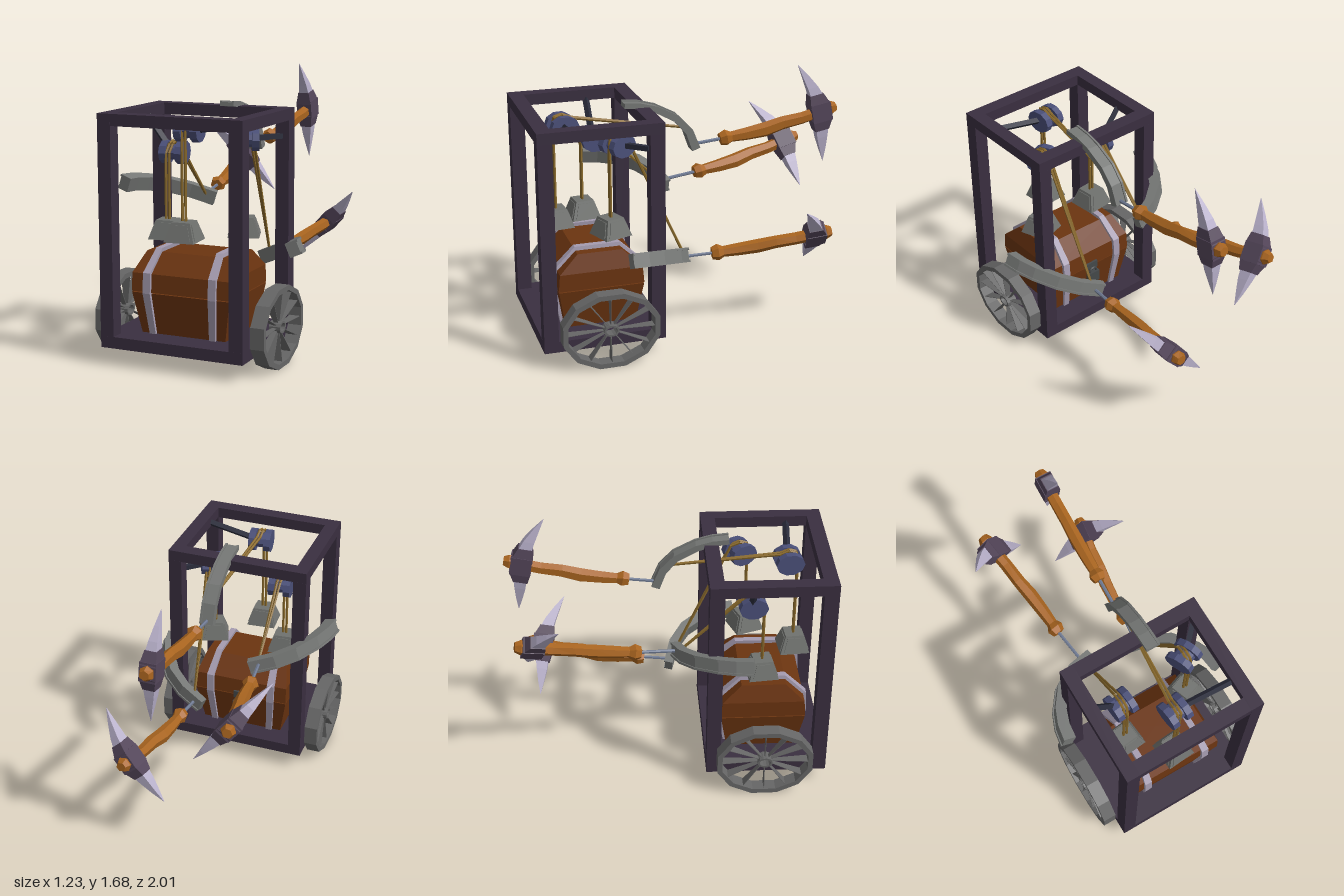
import * as THREE from 'three';

const V = (x, y, z) => new THREE.Vector3(x, y, z);
const mat = (color) => new THREE.MeshStandardMaterial({ color, flatShading: true, side: THREE.DoubleSide });
const M = {
  frame: mat(0x3a2f40), wood: mat(0x6b3410), band: mat(0xa59cb0), wheel: mat(0x666666), lock: mat(0x44484a),
  pulley: mat(0x4a4f78), bracket: mat(0x2b2d3c), rope: mat(0x8a6a2c), weight: mat(0x70726f), arm: mat(0x767876),
  handle: mat(0xa8641f), head: mat(0x54465a), spike: mat(0xb9b1cb), steel: mat(0x6f7a92),
};

function add(parent, name, geo, material, x = 0, y = 0, z = 0) {
  const m = new THREE.Mesh(geo, material);
  m.name = name;
  m.position.set(x, y, z);
  parent.add(m);
  return m;
}
function group(parent, name, x = 0, y = 0, z = 0) {
  const g = new THREE.Group();
  g.name = name;
  g.position.set(x, y, z);
  parent.add(g);
  return g;
}
const box = (w, h, d) => new THREE.BoxGeometry(w, h, d);

// Solid through horizontal sections [y, centreX, centreZ, halfX, halfZ], bottom to top
function loft(sections, sides = 4) {
  const n = sections.length - 1, r = 1 / Math.cos(Math.PI / sides);
  const g = new THREE.CylinderGeometry(r, r, 1, sides, n, false, Math.PI / sides);
  const p = g.attributes.position;
  for (let i = 0; i < p.count; i++) {
    const [y, cx, cz, rx, rz] = sections[Math.round((p.getY(i) + 0.5) * n)];
    p.setXYZ(i, cx + p.getX(i) * rx, y, cz + p.getZ(i) * rz);
  }
  g.computeVertexNormals();
  return g;
}
// Straight bar between two points
function rod(parent, name, a, b, r, material, sides = 6) {
  const d = b.clone().sub(a);
  const m = add(parent, name, new THREE.CylinderGeometry(r, r, d.length(), sides), material);
  m.position.copy(a).add(b).multiplyScalar(0.5);
  m.quaternion.setFromUnitVectors(V(0, 1, 0), d.normalize());
}

function buildFrame(root) {
  const g = group(root, 'frame');
  add(g, 'floor', box(0.915, 0.07, 0.765), M.frame, 0.008, 0.145, 0.618);
  for (const x of [-0.408, 0.423]) {
    for (const z of [0.28, 0.955]) add(g, 'post', box(0.085, 1.25, 0.09), M.frame, x, 0.805, z);
    add(g, 'topSideBeam', box(0.085, 0.07, 0.765), M.frame, x, 1.465, 0.618);
  }
  for (const z of [0.28, 0.955]) add(g, 'topCrossBeam', box(0.75, 0.07, 0.09), M.frame, 0.008, 1.465, z);
}

function buildChest(root) {
  const g = group(root, 'chest', 0.008, 0, 0.602);
  add(g, 'chestBody', loft([[0.18, 0, 0, 0.272, 0.225], [0.432, 0, 0, 0.317, 0.268]]), M.wood);
  add(g, 'chestLid', loft([[0.438, 0, 0, 0.317, 0.27], [0.548, 0, 0, 0.317, 0.26], [0.66, 0, 0, 0.28, 0.14]]), M.wood);
  for (const s of [-1, 1]) {
    add(g, 'chestBand', loft([[0.18, s * 0.195, 0, 0.02, 0.243], [0.433, s * 0.212, 0, 0.024, 0.288],
      [0.556, s * 0.212, 0, 0.024, 0.28], [0.684, s * 0.197, 0, 0.02, 0.142]]), M.band);
  }
  // padlock on the back
  add(g, 'lockPlate', box(0.09, 0.05, 0.02), M.lock, 0, 0.44, -0.272);
  add(g, 'lockBody', box(0.085, 0.08, 0.035), M.lock, 0, 0.36, -0.29);
  add(g, 'lockShackle', new THREE.TorusGeometry(0.028, 0.008, 5, 8, Math.PI), M.lock, 0, 0.4, -0.29);
}

// Oval ring of twelve sides, laid across the x axis
function ring(rz, ry, thick, width) {
  const oval = (a, b) => Array.from({ length: 12 }, (_, i) => {
    const t = (i + 0.5) * Math.PI / 6;
    return new THREE.Vector2(a * Math.cos(t), b * Math.sin(t));
  });
  const shape = new THREE.Shape(oval(rz, ry));
  shape.holes.push(new THREE.Path(oval(rz - thick, ry - thick)));
  return new THREE.ExtrudeGeometry(shape, { depth: width, bevelEnabled: false }).translate(0, 0, -width / 2).rotateY(Math.PI / 2);
}
function buildWheels(root) {
  for (const x of [-0.502, 0.512]) {
    const g = group(root, 'wheel', x, 0.243, 0.6);
    add(g, 'rim', ring(0.312, 0.248, 0.032, 0.085), M.wheel);
    add(g, 'hub', ring(0.048, 0.037, 0.012, 0.07), M.wheel);
    // blade spokes, edge-on from the side
    const spokes = group(g, 'spokes');
    spokes.scale.y = 0.79;
    for (let i = 0; i < 12; i++) {
      const s = add(spokes, 'spoke', loft([[0.045, 0, 0, 0.014, 0.002], [0.28, 0, 0, 0.034, 0.002]]), M.wheel);
      s.rotation.x = i * Math.PI / 6;
    }
  }
}

// Hanging weight, pulley, its bracket, and the rope running back to an arm
function buildPulley(root, { pulley, turn, weight, weightTurn, bracket, ropeEnd }) {
  const g = group(root, 'pulleySet');
  const p = group(g, 'pulley', pulley.x, pulley.y, pulley.z);
  p.rotation.y = turn;
  p.scale.y = 0.79;
  for (const s of [-1, 1]) {
    add(p, 'pulleyDisc', new THREE.CylinderGeometry(0.09, 0.09, 0.043, 10).rotateZ(Math.PI / 2), M.pulley, s * 0.05);
  }
  add(p, 'pulleyHub', new THREE.CylinderGeometry(0.06, 0.06, 0.08, 10).rotateZ(Math.PI / 2), M.pulley);
  rod(g, 'pulleyBracket', bracket[0], bracket[1], 0.022, M.bracket, 4);

  const w = group(g, 'weight', weight.x, weight.y, weight.z);
  w.rotation.y = weightTurn;
  add(w, 'weightBlock', loft([[0, 0, 0, 0.094, 0.094], [0.115, 0, 0, 0.057, 0.057]]), M.weight);
  add(w, 'weightPanelFront', loft([[0.014, 0, 0, 0.07, 0.094], [0.101, 0, 0, 0.045, 0.066]]), M.weight);
  add(w, 'weightPanelSide', loft([[0.014, 0, 0, 0.094, 0.07], [0.101, 0, 0, 0.066, 0.045]]), M.weight);

  for (const s of [-0.011, 0.011]) {
    const path = [
      V(weight.x + s, weight.y + 0.11, weight.z), V(weight.x + s, pulley.y, weight.z),
      V(pulley.x + s, pulley.y + 0.055, pulley.z + 0.045), V(pulley.x + s, pulley.y + 0.068, pulley.z),
      V(pulley.x + s, pulley.y + 0.045, pulley.z - 0.055), V(ropeEnd.x, ropeEnd.y, ropeEnd.z),
    ];
    for (let i = 0; i < 5; i++) rod(g, 'rope', path[i], path[i + 1], 0.009, M.rope, 5);
  }
}

// Curved arm in the plane of u and v, with raised rails along its outer edge
function buildArm(root, origin, u, v, vScale, t0, t1) {
  const pts = [[0, 0], [0.1, 0.015], [0.2, 0.055], [0.33, 0.15], [0.41, 0.27], [0.455, 0.43]]
    .map(([a, b]) => new THREE.Vector2(a, b * vScale));
  const g = group(root, 'curvedArm');
  const strip = (outer, width, offset) => {
    const top = [], low = [];
    pts.forEach((p, i) => {
      const d = pts[Math.min(i + 1, 5)].clone().sub(pts[Math.max(i - 1, 0)]).normalize();
      const t = t0 + (t1 - t0) * i / 5, n = new THREE.Vector2(d.y, -d.x);
      top.push(p.clone().addScaledVector(n, t + outer));
      low.unshift(p.clone().addScaledVector(n, -t));
    });
    return new THREE.ExtrudeGeometry(new THREE.Shape([...top, ...low]), { depth: width, bevelEnabled: false })
      .translate(0, 0, offset - width / 2);
  };
  add(g, 'armBody', strip(-0.008, 0.085, 0), M.arm);
  for (const s of [-1, 1]) add(g, 'armRail', strip(0, 0.014, s * 0.038), M.arm);
  g.matrixAutoUpdate = true;
  g.quaternion.setFromRotationMatrix(new THREE.Matrix4().makeBasis(u, v, u.clone().cross(v)));
  g.position.copy(origin);
}

// Pickaxe: handle along local y, spikes along local x
function buildPickaxe(root, butt, end, tipA, tipB, wireStart) {
  rod(root, 'wire', wireStart, butt, 0.011, M.steel);
  const g = group(root, 'pickaxe', butt.x, butt.y, butt.z);
  const d = end.clone().sub(butt).normalize();
  const up = tipA.clone().sub(tipB);
  up.addScaledVector(d, -up.dot(d)).normalize();
  g.quaternion.setFromRotationMatrix(new THREE.Matrix4().makeBasis(up, d, up.clone().cross(d)));

  add(g, 'handle', loft([
    [-0.02, 0, 0, 0.034, 0.034], [0.02, 0, 0, 0.046, 0.046], [0.055, -0.005, 0, 0.03, 0.03],
    [0.15, -0.014, 0, 0.036, 0.034], [0.28, -0.02, 0, 0.042, 0.037], [0.4, -0.01, 0, 0.038, 0.034],
    [0.53, -0.014, 0, 0.034, 0.034], [0.66, -0.006, 0, 0.034, 0.034], [0.73, 0, 0, 0.042, 0.04], [0.765, 0, 0, 0.026, 0.028],
  ], 6), M.handle);

  const head = group(g, 'pickHead', 0, 0.655, 0);
  add(head, 'socket', box(0.12, 0.13, 0.105), M.head);
  for (const [s, tip] of [[1, -0.07], [-1, 0]]) {
    const collar = loft([[0.04, 0, 0, 0.068, 0.052], [0.12, -0.012, 0, 0.045, 0.038]]);
    const spike = loft([[0.1, -0.008, 0, 0.042, 0.036], [0.17, -0.016 + tip * 0.15, 0, 0.034, 0.028],
      [0.25, -0.022 + tip * 0.5, 0, 0.02, 0.015], [0.335, -0.03 + tip * 0.9, 0, 0.001, 0.001]]);
    // cross-section profile runs outward; its x offset becomes the lean along the handle
    for (const [name, geo, m] of [['collar', collar, M.head], ['spike', spike, M.spike]]) {
      const side = group(head, name + 'Side');
      side.quaternion.setFromRotationMatrix(new THREE.Matrix4().makeBasis(V(0, 1, 0), V(s, 0, 0), V(0, 0, -s)));
      add(side, name, geo, m);
    }
  }
}

export function createModel() {
  const root = new THREE.Group();
  root.name = 'pickaxeCart';
  buildFrame(root);
  buildChest(root);
  buildWheels(root);

  buildPulley(root, { pulley: V(-0.2, 1.228, 0.515), turn: 0.1, weight: V(-0.21, 0.715, 0.59), weightTurn: 0.1,
    bracket: [V(-0.22, 1.23, 0.51), V(-0.38, 1.44, 0.51)], ropeEnd: V(-0.2, 0.9, 0.08) });
  buildPulley(root, { pulley: V(0.02, 1.4, 0.755), turn: 0.12, weight: V(0.01, 0.757, 0.81), weightTurn: 0.08,
    bracket: [V(0.04, 1.4, 0.75), V(0.4, 1.455, 0.78)], ropeEnd: V(0.09, 1.34, 0) });
  buildPulley(root, { pulley: V(0.26, 1.327, 0.475), turn: 0.45, weight: V(0.265, 0.757, 0.525), weightTurn: 0.35,
    bracket: [V(0.28, 1.33, 0.465), V(0.42, 1.335, 0.32)], ropeEnd: V(0.23, 0.58, 0.06) });

  const back = V(0, 0, -1);
  buildArm(root, V(-0.56, 1.01, 0.5), back, V(Math.cos(0.32), -Math.sin(0.32), 0), 1, 0.04, 0.028);
  buildArm(root, V(0.56, 0.69, 0.475), back, V(-Math.cos(0.42), -Math.sin(0.42), 0), 1, 0.04, 0.028);
  buildArm(root, V(0.09, 1.52, 0.39), back, V(0, -1, 0), 0.74, 0.016, 0.027);

  buildPickaxe(root, V(-0.245, 0.92, -0.19), V(-0.36, 1.065, -0.935), V(-0.58, 1.3, -0.7), V(-0.12, 0.75, -0.92), V(-0.21, 0.9, 0.06));
  buildPickaxe(root, V(0.24, 0.54, -0.155), V(0.325, 0.63, -0.91), V(0.595, 0.865, -0.69), V(0.155, 0.385, -0.88), V(0.22, 0.53, 0.06));
  buildPickaxe(root, V(0.095, 1.245, -0.25), V(0.11, 1.39, -1), V(0.1, 1.675, -0.77), V(0.105, 1.04, -0.965), V(0.09, 1.225, -0.06));
  return root;
}
